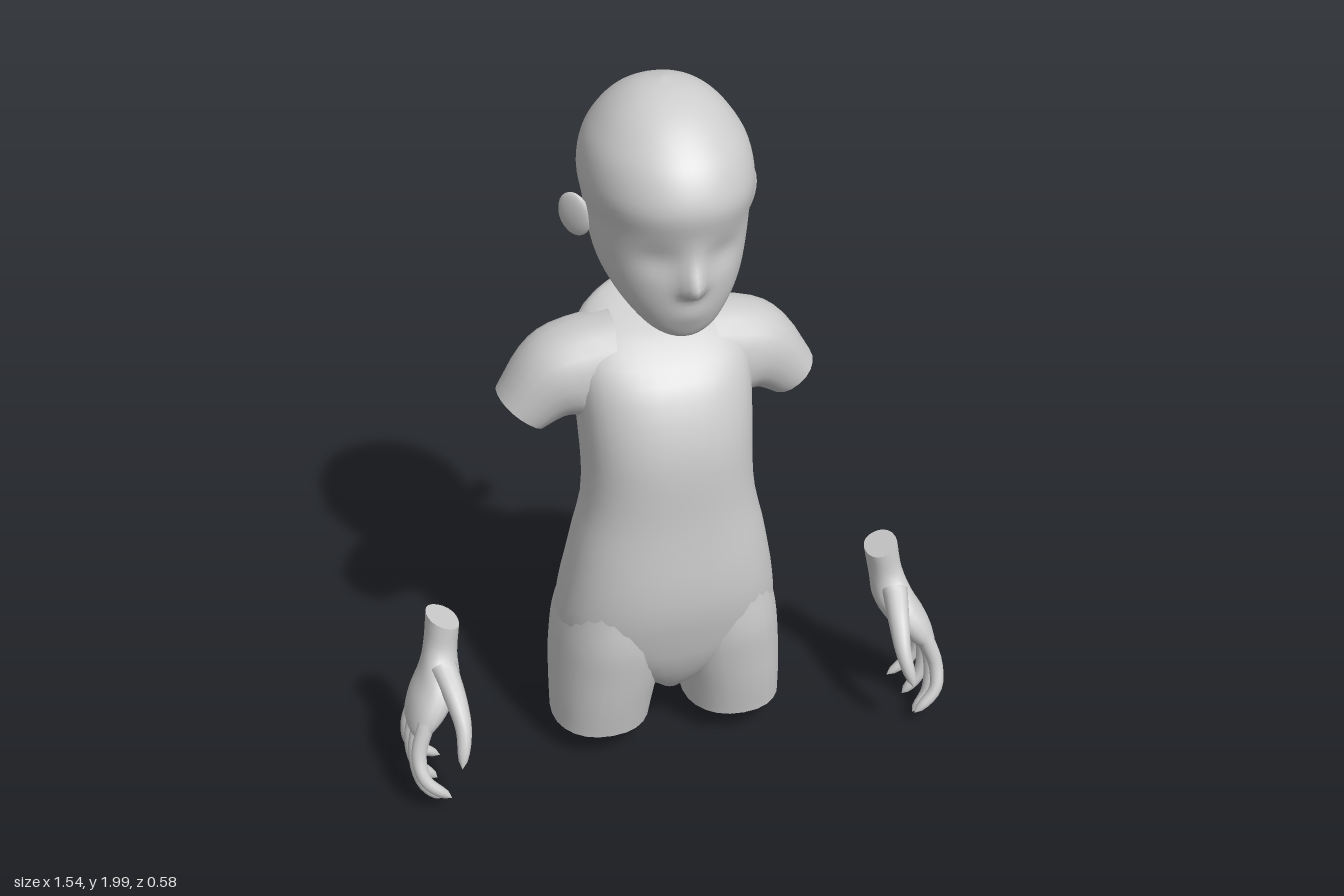
import * as THREE from 'three';

const V = (x, y, z) => new THREE.Vector3(x, y, z);
const material = new THREE.MeshStandardMaterial({ color: 0xcccccc });

// Smooths a list of key rings {c, u, v} (centre and two half axes) into more rings.
function refine(keys, steps) {
  const curves = ['c', 'u', 'v'].map(k => new THREE.CatmullRomCurve3(keys.map(r => r[k]), false, 'catmullrom', 0.5));
  const count = (keys.length - 1) * steps;
  return Array.from({ length: count + 1 }, (_, i) => {
    const [c, u, v] = curves.map(curve => curve.getPoint(i / count));
    return { c, u, v };
  });
}

// Skins closed rings; k is the squareness of the section (2 is an ellipse).
function loft(rings, { n = 24, k = 2, capStart = false, capEnd = false, shape = null } = {}) {
  const pos = [], index = [];
  const pow = t => Math.sign(t) * Math.abs(t) ** (2 / k);
  const point = (r, j) => {
    const a = (j / n) * Math.PI * 2;
    const p = r.c.clone().addScaledVector(r.u, pow(Math.cos(a))).addScaledVector(r.v, pow(Math.sin(a)));
    if (shape) shape(p);
    return p;
  };
  for (const r of rings) for (let j = 0; j < n; j++) pos.push(...point(r, j).toArray());
  const last = rings.length - 1, mid = rings[last >> 1];
  const travel = rings[last].c.clone().sub(rings[0].c);
  const flip = mid.u.clone().cross(mid.v).dot(travel) > 0;
  const tri = (a, b, c) => (flip ? index.push(a, c, b) : index.push(a, b, c));
  for (let i = 0; i < last; i++) {
    for (let j = 0; j < n; j++) {
      const a = i * n + j, b = i * n + (j + 1) % n;
      tri(a, a + n, b);
      tri(b, a + n, b + n);
    }
  }
  // Flat ends have their own corners so that the rim stays sharp.
  const cap = (r, end) => {
    const base = pos.length / 3;
    pos.push(...r.c.toArray());
    for (let j = 0; j < n; j++) pos.push(...point(r, j).toArray());
    for (let j = 0; j < n; j++) {
      const a = base + 1 + j, b = base + 1 + (j + 1) % n;
      if (end) tri(base, b, a); else tri(base, a, b);
    }
  };
  if (capStart) cap(rings[0], false);
  if (capEnd) cap(rings[last], true);
  const geo = new THREE.BufferGeometry();
  geo.setAttribute('position', new THREE.Float32BufferAttribute(pos, 3));
  geo.setIndex(index);
  geo.computeVertexNormals();
  return geo;
}

function add(parent, name, geo) {
  const mesh = new THREE.Mesh(geo, material);
  mesh.name = name;
  parent.add(mesh);
  return mesh;
}

// Level or tilted ring: height at front and back, half width, front z, back z, centre x.
const slice = (yf, yb, hx, zf, zb, x = 0) => ({
  c: V(x, (yf + yb) / 2, (zf + zb) / 2),
  u: V(hx, 0, 0),
  v: V(0, (yf - yb) / 2, (zf - zb) / 2),
});

// Ring spanning two points in the xy plane, with a z centre and half depth.
const span = (s, x1, y1, x2, y2, z, hz) => ({
  c: V(s * (x1 + x2) / 2, (y1 + y2) / 2, z),
  u: V(s * (x1 - x2) / 2, (y1 - y2) / 2, 0),
  v: V(0, 0, hz),
});

// Tapered round finger with a rounded tip.
function finger(points, r0, r1) {
  const curve = new THREE.CatmullRomCurve3(points);
  const rings = Array.from({ length: 15 }, (_, i) => {
    const t = i / 14, tip = Math.max(0, (t - 0.8) / 0.2);
    const r = (r0 + (r1 - r0) * t) * Math.sqrt(1 - tip * tip);
    const dir = curve.getTangent(t);
    const u = dir.clone().cross(V(0, 0, 1)).normalize();
    return { c: curve.getPoint(t), v: dir.clone().cross(u).multiplyScalar(r), u: u.multiplyScalar(r) };
  });
  return loft(rings, { n: 12 });
}

// Nose and shallow eye sockets pushed out of the front of the head.
function face(p) {
  if (p.z < 0.1) return;
  const bell = (d, w) => Math.exp(-((d / w) ** 2));
  const dy = p.y - 1.54;
  p.z += 0.052 * bell(p.x, 0.028) * bell(dy, dy > 0 ? 0.07 : 0.022);
  p.z -= 0.016 * bell(Math.abs(p.x) - 0.085, 0.055) * bell(p.y - 1.62, 0.045);
  p.z += 0.006 * bell(p.x, 0.05) * bell(p.y - 1.455, 0.03);
}

function makeHead() {
  const head = new THREE.Group();
  head.name = 'head';
  const rows = [
    [1.372, 0, 0.165, 0.15], [1.378, 0.045, 0.192, 0.11], [1.4, 0.085, 0.208, 0.065],
    [1.435, 0.122, 0.222, -0.02], [1.485, 0.158, 0.235, -0.115], [1.54, 0.184, 0.243, -0.2],
    [1.61, 0.199, 0.25, -0.245], [1.68, 0.207, 0.26, -0.275], [1.76, 0.219, 0.275, -0.29],
    [1.84, 0.207, 0.243, -0.265], [1.9, 0.175, 0.19, -0.225], [1.95, 0.13, 0.125, -0.17],
    [1.985, 0.072, 0.05, -0.1], [2.0, 0, -0.025, -0.035],
  ];
  const rings = refine(rows.map(([y, hx, zf, zb]) => slice(y, y, hx, zf, zb)), 4);
  add(head, 'skull', loft(rings, { n: 72, k: 2.1, shape: face }));
  // Ears flare outward towards the back.
  for (const s of [1, -1]) {
    const ear = add(head, s > 0 ? 'leftEar' : 'rightEar', new THREE.SphereGeometry(1, 16, 12));
    ear.scale.set(0.016, 0.063, 0.05);
    ear.position.set(s * 0.23, 1.645, -0.038);
    ear.rotation.set(0, -s * 0.71, -s * 0.1);
  }
  return head;
}

function makeBody() {
  const body = new THREE.Group();
  body.name = 'body';
  const rows = [
    [0.18, 0.18, 0.04, 0.07, -0.1], [0.24, 0.24, 0.13, 0.12, -0.16], [0.32, 0.32, 0.25, 0.16, -0.2],
    [0.4, 0.4, 0.305, 0.183, -0.225], [0.5, 0.5, 0.3, 0.205, -0.222], [0.6, 0.6, 0.282, 0.21, -0.2],
    [0.7, 0.7, 0.262, 0.205, -0.18], [0.8, 0.8, 0.238, 0.2, -0.167], [0.9, 0.9, 0.23, 0.2, -0.185],
    [1.0, 1.0, 0.232, 0.195, -0.215], [1.1, 1.1, 0.236, 0.168, -0.227], [1.19, 1.2, 0.238, 0.122, -0.23],
    [1.25, 1.285, 0.222, 0.055, -0.23], [1.295, 1.338, 0.17, -0.01, -0.228],
    [1.34, 1.362, 0.09, -0.12, -0.222], [1.36, 1.367, 0, -0.18, -0.2],
  ];
  add(body, 'torso', loft(refine(rows.map(r => slice(...r)), 2), { n: 36, k: 2.35, capStart: true }));
  for (const s of [1, -1]) {
    const side = s > 0 ? 'left' : 'right';
    const sleeve = [
      span(s, 0.13, 1.325, 0.17, 1.0, -0.085, 0.13), span(s, 0.28, 1.285, 0.228, 1.04, -0.093, 0.128),
      span(s, 0.365, 1.225, 0.265, 1.042, -0.095, 0.115), span(s, 0.435, 1.11, 0.315, 1.016, -0.098, 0.097),
    ];
    add(body, side + 'UpperArm', loft(refine(sleeve, 3), { n: 20, k: 2.2, capEnd: true }));
    // Short thigh, cut flat at the bottom.
    const leg = [
      slice(0.09, 0.09, 0.137, 0.13, -0.17, s * 0.192), slice(0.19, 0.19, 0.146, 0.15, -0.195, s * 0.183),
      slice(0.3, 0.3, 0.158, 0.167, -0.223, s * 0.167), slice(0.4, 0.4, 0.155, 0.178, -0.225, s * 0.158),
      slice(0.52, 0.52, 0.135, 0.17, -0.19, s * 0.15),
    ];
    add(body, side + 'Thigh', loft(refine(leg, 3), { k: 2.2, capStart: true }));
  }
  return body;
}

function makeHand(s) {
  const hand = new THREE.Group();
  hand.name = s > 0 ? 'leftHand' : 'rightHand';
  const palm = [
    span(s, 0.675, 0.515, 0.588, 0.48, 0, 0.06), span(s, 0.688, 0.43, 0.6, 0.4, 0.015, 0.058),
    span(s, 0.71, 0.365, 0.606, 0.335, 0.05, 0.088), span(s, 0.745, 0.3, 0.645, 0.275, 0.073, 0.097),
    span(s, 0.762, 0.235, 0.698, 0.225, 0.085, 0.085), span(s, 0.745, 0.205, 0.735, 0.205, 0.085, 0.05),
  ];
  add(hand, 'palm', loft(refine(palm, 4), { n: 20, k: 2.2, capStart: true, capEnd: true }));
  add(hand, 'thumb', finger([
    V(s * 0.65, 0.39, 0.08), V(s * 0.635, 0.33, 0.165), V(s * 0.63, 0.27, 0.22), V(s * 0.648, 0.18, 0.268),
  ], 0.036, 0.015));
  // Each finger: knuckle z, tip z, tip x, tip y.
  [[0.148, 0.222, 0.672, 0.052], [0.108, 0.162, 0.69, 0.008], [0.066, 0.088, 0.685, 0.022], [0.026, 0.02, 0.662, 0.045]]
    .forEach(([z0, z1, x, y], i) => add(hand, 'finger' + (i + 1), finger([
      V(s * 0.718, 0.265, z0), V(s * 0.748, 0.175, z0 + (z1 - z0) * 0.35),
      V(s * 0.738, y + 0.06, z0 + (z1 - z0) * 0.78), V(s * x, y, z1),
    ], 0.024, 0.015)));
  return hand;
}

export function createModel() {
  const model = new THREE.Group();
  model.name = 'childFigure';
  model.add(makeHead(), makeBody(), makeHand(1), makeHand(-1));
  return model;
}
